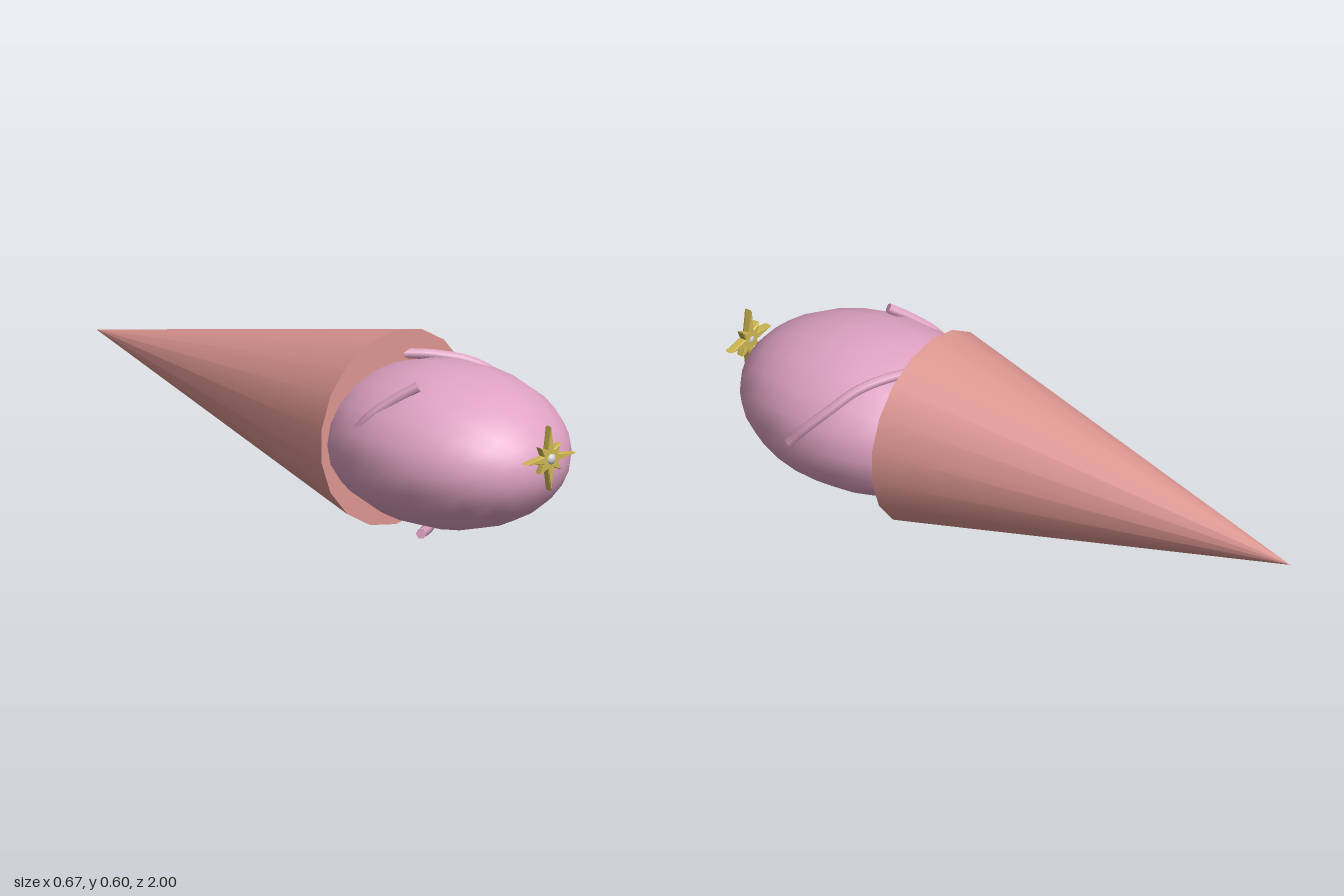
import * as THREE from 'three';

const CX = -0.01; // shared long axis of cone and scoop

function mat(name, color, side = THREE.FrontSide) {
  const m = new THREE.MeshStandardMaterial({ color, side });
  m.name = name;
  return m;
}

export function createModel() {
  const group = new THREE.Group();
  const salmon = mat('salmon', 0xdd9691);
  const pink = mat('pink', 0xe0a3c4);
  const gold = mat('gold', 0xccb552);
  const silver = mat('silver', 0xcfcfcf);

  const add = (name, geometry, material, x = 0, y = 0, z = 0) => {
    const mesh = new THREE.Mesh(geometry, material);
    mesh.name = name;
    mesh.position.set(x, y, z);
    group.add(mesh);
    return mesh;
  };

  // Long cone, tip pointing back
  const cone = new THREE.ConeGeometry(0.298, 1.31, 18).rotateX(-Math.PI / 2);
  add('cone', cone, salmon, CX, 0.3, -0.345);

  // Egg-shaped scoop sunk into the cone's mouth
  const scoop = new THREE.SphereGeometry(1, 20, 16).rotateX(Math.PI / 2).scale(0.325, 0.24, 0.41);
  add('scoop', scoop, pink, CX, 0.3, 0.535);

  // Drips running over the scoop, with flat end caps
  const drips = {
    leftDrip: [[0.0, 0.515, 0.27], [0.1, 0.51, 0.355], [0.195, 0.482, 0.425], [0.265, 0.425, 0.48], [0.305, 0.365, 0.535], [0.319, 0.305, 0.585]],
    rightDrip: [[-0.175, 0.522, 0.59], [-0.225, 0.48, 0.54], [-0.27, 0.43, 0.49], [-0.29, 0.38, 0.45]],
    lowerDrip: [[-0.172, 0.072, 0.6], [-0.11, 0.062, 0.555], [-0.04, 0.057, 0.5], [0.1, 0.078, 0.4], [0.2, 0.145, 0.3], [0.23, 0.18, 0.26]],
  };
  const RADIUS = 0.016;
  for (const [name, path] of Object.entries(drips)) {
    const curve = new THREE.CatmullRomCurve3(path.map((p) => new THREE.Vector3(...p)));
    const drip = add(name, new THREE.TubeGeometry(curve, 20, RADIUS, 6), pink);
    for (const t of [0, 1]) {
      const cap = new THREE.Mesh(new THREE.CircleGeometry(RADIUS, 6), pink);
      cap.name = name + 'Cap';
      const dir = curve.getTangentAt(t).multiplyScalar(t ? 1 : -1);
      cap.position.copy(curve.getPointAt(t));
      cap.quaternion.setFromUnitVectors(new THREE.Vector3(0, 0, 1), dir);
      drip.add(cap);
    }
  }

  // Eight-pointed star: long points on the axes, short ones on the diagonals
  const points = [];
  for (let i = 0; i < 16; i++) {
    const r = i % 2 ? 0.031 : i % 4 ? 0.057 : 0.099;
    const a = (i * Math.PI) / 8;
    points.push(new THREE.Vector2(r * Math.cos(a), r * Math.sin(a)));
  }
  const star = new THREE.ExtrudeGeometry(new THREE.Shape(points), {
    depth: 0.017, bevelThickness: 0.004, bevelSize: 0.003, bevelOffset: -0.003, bevelSegments: 1,
  });
  add('star', star, gold, CX, 0.357, 0.97);

  // Pearl at the middle of the star
  add('pearl', new THREE.SphereGeometry(0.019, 16, 12), silver, CX, 0.357, 0.981);

  return group;
}
